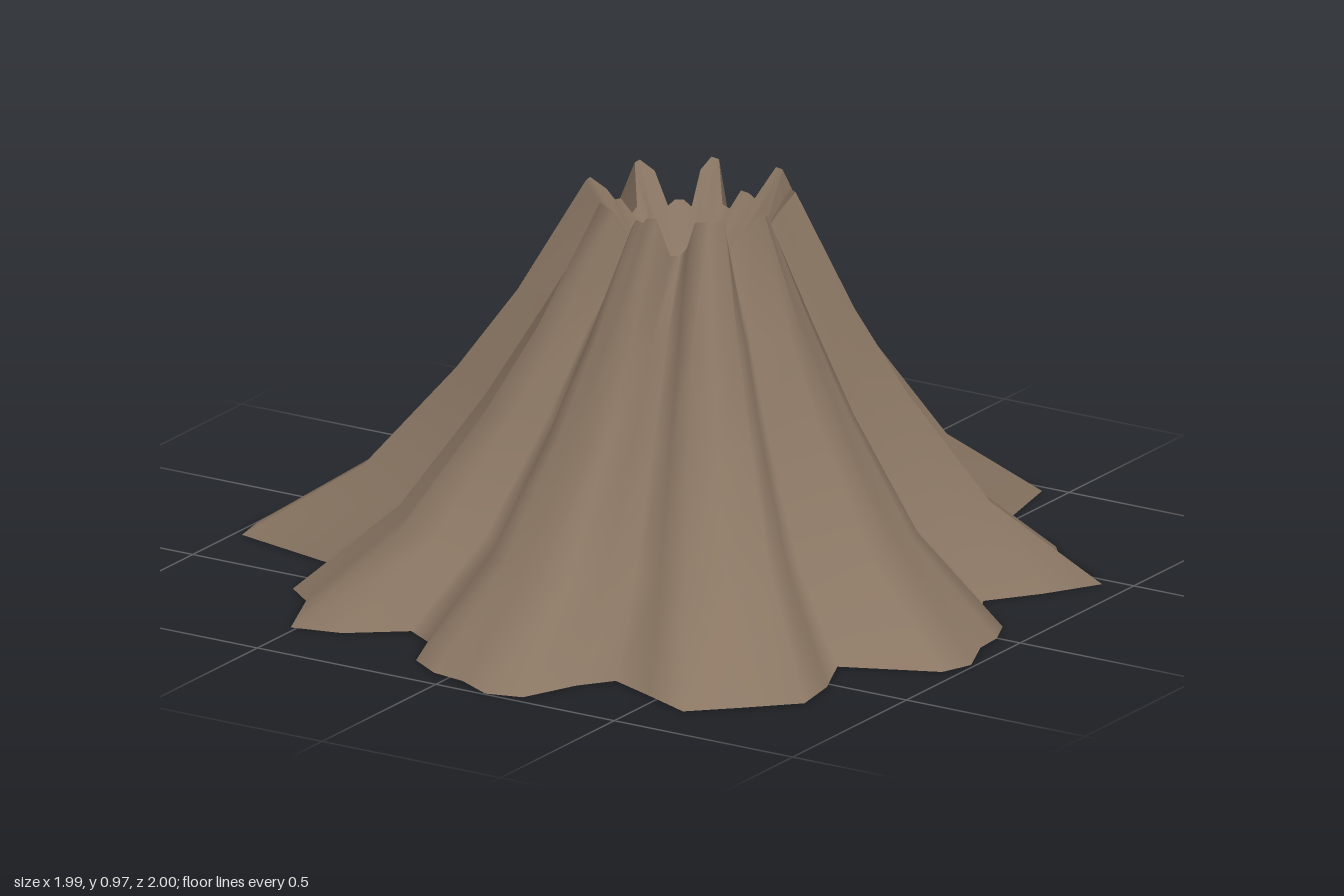
import * as THREE from 'three';

// Foot of the mountain: x, z pairs around the ragged outline
const foot = [
  0.35, -1, 0.44, -0.975, 0.5, -0.69, 0.6, -0.675, 0.69, -0.645, 0.75, -0.57, 0.84, -0.53, 0.93, -0.47,
  0.85, -0.335, 0.76, -0.215, 0.8, -0.14, 0.9, -0.08, 0.935, 0, 0.94, 0.08, 0.99, 0.2, 0.96, 0.28,
  0.73, 0.38, 0.79, 0.52, 0.81, 0.65, 0.7, 0.76, 0.6, 0.855, 0.47, 0.8, 0.345, 0.75, 0.285, 0.83,
  0.225, 0.97, 0.135, 0.995, 0.04, 0.945, -0.05, 0.93, -0.135, 0.875, -0.185, 0.745, -0.26, 0.7,
  -0.39, 0.8, -0.515, 0.83, -0.59, 0.645, -0.665, 0.585, -0.675, 0.5, -0.675, 0.385, -0.98, 0.315,
  -1, 0.215, -0.91, 0.1, -0.885, 0, -0.87, -0.08, -0.8, -0.16, -0.795, -0.25, -0.885, -0.385,
  -0.88, -0.48, -0.74, -0.505, -0.6, -0.515, -0.555, -0.57, -0.485, -0.63, -0.41, -0.665,
  -0.39, -0.8, -0.35, -0.935, -0.25, -0.92, -0.135, -0.82, -0.045, -0.82, 0.04, -0.885, 0.13, -0.89, 0.22, -0.865,
];
const COUNT = foot.length / 2;
const CENTRE = 0.07;
const MEAN = 0.9;

// Polar form of the outline about the vent
const spokes = Array.from({ length: COUNT }, (_, i) => {
  const x = foot[2 * i] - CENTRE, z = foot[2 * i + 1];
  const r = Math.hypot(x, z);
  return { x: x / r, z: z / r, r };
});

// One ring: scaled outline; power deepens the gullies, jag makes the rim uneven
function ring({ y, scale, power = 1, shift = 0, jag = 0 }) {
  return spokes.map((s, i) => {
    const near = [-3, -2, -1, 1, 2, 3].reduce((sum, d) => sum + spokes[(i + d + COUNT) % COUNT].r, 0) / 6;
    const r = scale * MEAN * Math.pow(s.r / MEAN, power);
    const lift = THREE.MathUtils.clamp(jag * (s.r - near), -0.06, 0.045);
    return [CENTRE + shift + s.x * r, y + lift, s.z * r + shift * 0.4];
  });
}

// Smooth skin through consecutive rings, running inward
function skin(rings, material, name) {
  const index = [];
  for (let k = 0; k < rings.length - 1; k++) {
    for (let i = 0; i < COUNT; i++) {
      const j = (i + 1) % COUNT;
      const a = k * COUNT + i, b = k * COUNT + j, c = a + COUNT, d = b + COUNT;
      index.push(a, c, b, b, c, d);
    }
  }
  const geometry = new THREE.BufferGeometry();
  geometry.setAttribute('position', new THREE.Float32BufferAttribute(rings.flat(2), 3));
  geometry.setIndex(index);
  geometry.computeVertexNormals();
  const mesh = new THREE.Mesh(geometry, material);
  mesh.name = name;
  return mesh;
}

export function createModel() {
  const group = new THREE.Group();
  group.name = 'volcano';
  const rock = new THREE.MeshStandardMaterial({ color: 0x8a7663, side: THREE.DoubleSide });

  // Flared, gullied outer slopes up to the jagged rim
  const rim = ring({ y: 0.925, scale: 0.235, power: 1.25, shift: 0.03, jag: 0.7 });
  const slopes = [
    ring({ y: 0, scale: 1 }),
    ring({ y: 0.2, scale: 0.73 }),
    ring({ y: 0.47, scale: 0.52, power: 1.05, shift: 0.01 }),
    ring({ y: 0.68, scale: 0.385, power: 1.12, shift: 0.02 }),
    rim,
  ];
  group.add(skin(slopes, rock, 'slopes'));

  // Crater funnel down to the vent
  const crater = [
    rim,
    ring({ y: 0.81, scale: 0.16, power: 1.1, shift: 0.02, jag: 0.2 }),
    ring({ y: 0.72, scale: 0.09, shift: 0.01 }),
    ring({ y: 0.68, scale: 0.0005 }),
  ];
  group.add(skin(crater, rock, 'crater'));
  return group;
}
